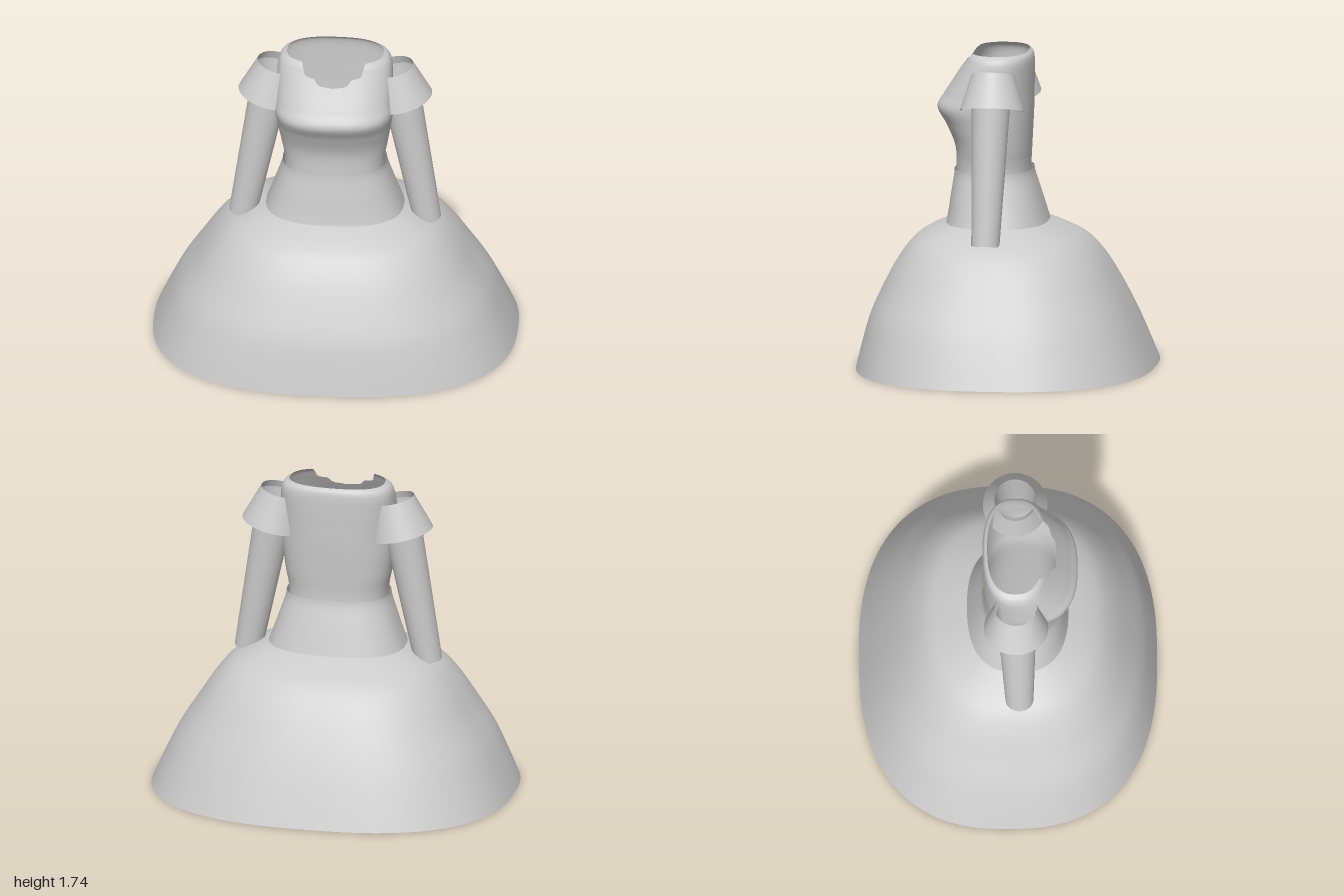
import * as THREE from 'three';

const mat = new THREE.MeshStandardMaterial({ color: 0xcccccc, side: THREE.DoubleSide });

// Uniform Catmull-Rom through rows of numbers, t in 0..1
function sample(rows, t) {
  const n = rows.length - 1;
  const i = Math.min(Math.floor(t * n), n - 1);
  const f = t * n - i;
  const row = (k) => rows[Math.max(0, Math.min(n, k))];
  return rows[0].map((_, c) => {
    const a = row(i - 1)[c], b = row(i)[c], d = row(i + 1)[c], e = row(i + 2)[c];
    const v0 = (d - a) / 2, v1 = (e - b) / 2;
    return (2 * b - 2 * d + v0 + v1) * f ** 3 + (-3 * b + 3 * d - 2 * v0 - v1) * f * f + v0 * f + b;
  });
}

// Open tube of rounded-oval rings; each row is [y, half width, front z, back z]
function loft(name, rows, steps, topAt) {
  const cols = 128, power = 2 / 2.5;
  const round = (v) => Math.sign(v) * Math.abs(v) ** power;
  const point = (t, a) => {
    const [y, hx, zf, zb] = sample(rows, t);
    return [hx * round(Math.sin(a)), y, (zf + zb) / 2 + ((zf - zb) / 2) * round(Math.cos(a))];
  };
  const pos = [], index = [];
  const limits = [];
  for (let i = 0; i < cols; i++) {
    const a = (i / cols) * Math.PI * 2;
    let hi = 1;
    if (topAt) {
      // Lower the end of this column to the cut line
      while (hi > 0.5 && point(hi, a)[1] > topAt(point(hi, a)[0], Math.cos(a))) hi -= 0.002;
    }
    limits.push(hi);
  }
  for (let j = 0; j <= steps; j++) {
    for (let i = 0; i < cols; i++) {
      pos.push(...point(Math.min(j / steps, limits[i]), (i / cols) * Math.PI * 2));
      if (j === steps) continue;
      const p = j * cols + i, q = j * cols + ((i + 1) % cols);
      if (j / steps < limits[i] || j / steps < limits[(i + 1) % cols]) {
        index.push(p, q, q + cols, p, q + cols, p + cols);
      }
    }
  }
  const geo = new THREE.BufferGeometry();
  geo.setAttribute('position', new THREE.Float32BufferAttribute(pos, 3));
  geo.setIndex(index);
  geo.computeVertexNormals();
  const mesh = new THREE.Mesh(geo, mat);
  mesh.name = name;
  return mesh;
}

// Open tapered tube between two points
function taperedTube(name, top, bottom, rTop, rBottom) {
  const a = new THREE.Vector3(...top), b = new THREE.Vector3(...bottom);
  const geo = new THREE.CylinderGeometry(rTop, rBottom, a.distanceTo(b), 48, 1, true);
  const mesh = new THREE.Mesh(geo, mat);
  mesh.name = name;
  mesh.position.copy(a).add(b).multiplyScalar(0.5);
  mesh.quaternion.setFromUnitVectors(new THREE.Vector3(0, 1, 0), a.sub(b).normalize());
  return mesh;
}

// Ragged scooped neckline at the front
const NECK = [[0, 1.63], [0.08, 1.64], [0.1, 1.67], [0.155, 1.68], [0.175, 1.75]];
function neckline(x, front) {
  const ax = Math.abs(x);
  if (front < 0 || ax >= 0.175) return 2;
  const k = NECK.findIndex((p) => p[0] > ax);
  const [x0, y0] = NECK[k - 1], [x1, y1] = NECK[k];
  return y0 + ((y1 - y0) * (ax - x0)) / (x1 - x0);
}

export function createModel() {
  const group = new THREE.Group();
  group.name = 'gown';

  // Bell-shaped outer skirt
  group.add(loft('outerSkirt', [
    [0, 1, 0.82, -0.815],
    [0.15, 0.935, 0.785, -0.755],
    [0.3, 0.862, 0.742, -0.69],
    [0.45, 0.767, 0.675, -0.615],
    [0.59, 0.675, 0.6, -0.53],
    [0.69, 0.585, 0.525, -0.44],
    [0.75, 0.485, 0.44, -0.335],
    [0.8, 0.375, 0.33, -0.22],
    [0.815, 0.335, 0.29, -0.18],
  ], 64));

  // Underskirt flaring from the waist to the ground
  group.add(loft('underskirt', [
    [0, 0.66, 0.55, -0.46],
    [0.27, 0.565, 0.475, -0.38],
    [0.54, 0.47, 0.4, -0.3],
    [0.8, 0.378, 0.334, -0.222],
    [0.95, 0.325, 0.31, -0.177],
    [1.05, 0.292, 0.294, -0.145],
    [1.09, 0.285, 0.29, -0.137],
  ], 36));

  // Bodice running down inside as the inner lining
  group.add(loft('bodice', [
    [0, 0.34, 0.33, -0.19],
    [0.3, 0.325, 0.32, -0.175],
    [0.6, 0.305, 0.305, -0.155],
    [0.87, 0.285, 0.29, -0.135],
    [1.09, 0.273, 0.28, -0.122],
    [1.22, 0.293, 0.286, -0.126],
    [1.34, 0.313, 0.334, -0.132],
    [1.435, 0.325, 0.384, -0.136],
    [1.51, 0.322, 0.345, -0.137],
    [1.6, 0.318, 0.288, -0.138],
    [1.68, 0.312, 0.238, -0.137],
    [1.72, 0.296, 0.215, -0.13],
    [1.74, 0.265, 0.195, -0.112],
  ], 120, neckline));

  // Long sleeves with flared shoulder caps
  for (const [side, s] of [['left', 1], ['right', -1]]) {
    group.add(taperedTube(side + 'Sleeve', [s * 0.34, 1.62, 0.047], [s * 0.506, 0.722, 0.062], 0.11, 0.077));
    group.add(taperedTube(side + 'ShoulderCap', [s * 0.322, 1.655, 0.043], [s * 0.352, 1.457, 0.045], 0.115, 0.177));
    // Lean the cap's openings outward
    const cap = group.children[group.children.length - 1];
    cap.rotation.set(0, 0, s * 0.22);
  }
  return group;
}
